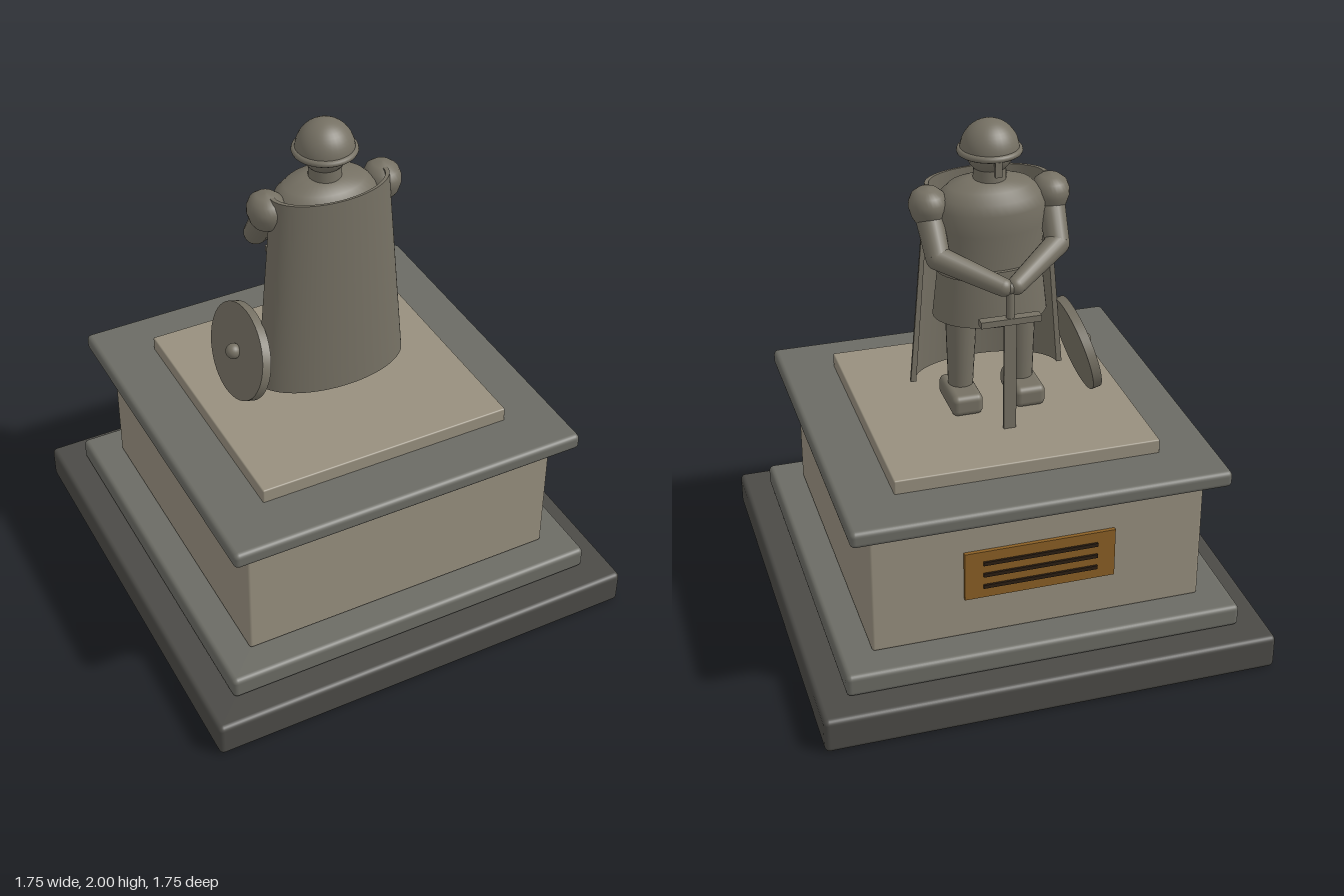
import * as THREE from 'three';
import { toCreasedNormals } from 'three/addons/utils/BufferGeometryUtils.js';
import { RoundedBoxGeometry } from 'three/addons/geometries/RoundedBoxGeometry.js';

const mat = (color) => new THREE.MeshStandardMaterial({ color });
const DARK = mat(0x4b4a46), STEP = mat(0x6b6b64), STONE = mat(0x978f7e);
const BRONZE = mat(0x757063), PLAQUE = mat(0x8a5f25), INK = mat(0x2a1d12);
const V = (x, y, z) => new THREE.Vector3(x, y, z);

function add(parent, name, geometry, material, x = 0, y = 0, z = 0) {
  const m = new THREE.Mesh(geometry, material);
  m.name = name;
  m.position.set(x, y, z);
  parent.add(m);
  return m;
}

// Lathed body part with an oval plan
function oval(parent, name, points, sx) {
  const geo = new THREE.LatheGeometry(points.map(([r, y]) => new THREE.Vector2(r, y)), 40);
  geo.scale(sx, 1, 1);
  return add(parent, name, toCreasedNormals(geo, 0.7), BRONZE);
}

// Tapered limb between two points
function limb(parent, name, a, b, ra, rb) {
  const d = b.clone().sub(a);
  const m = add(parent, name, new THREE.CylinderGeometry(rb, ra, d.length(), 20), BRONZE);
  m.position.copy(a).addScaledVector(d, 0.5);
  m.quaternion.setFromUnitVectors(V(0, 1, 0), d.normalize());
}

function ball(parent, name, r, p, s = [1, 1, 1]) {
  add(parent, name, new THREE.SphereGeometry(r, 24, 16), BRONZE, p.x, p.y, p.z).scale.set(...s);
}

function pedestal() {
  const g = new THREE.Group();
  g.name = 'pedestal';
  // name, width, bottom, top, edge radius, material
  const tiers = [
    ['footing', 1.75, 0, 0.14, 0.02, DARK],
    ['lowerStep', 1.53, 0.14, 0.23, 0.02, STEP],
    ['pedestalBlock', 1.28, 0.23, 0.745, 0.012, STONE],
    ['cornice', 1.44, 0.745, 0.81, 0.02, STEP],
    ['topSlab', 1.02, 0.805, 0.865, 0.006, STONE],
  ];
  for (const [name, w, y0, y1, r, m] of tiers) {
    add(g, name, new RoundedBoxGeometry(w, y1 - y0, w, 3, r), m, 0, (y0 + y1) / 2, 0);
  }
  // Plaque with three raised bars
  add(g, 'plaque', new THREE.BoxGeometry(0.58, 0.2, 0.02), PLAQUE, 0, 0.5, -0.645);
  for (const y of [0.45, 0.5, 0.55]) {
    add(g, 'plaqueBar', new THREE.BoxGeometry(0.44, 0.015, 0.01), INK, 0, y, -0.658);
  }
  return g;
}

// Half-oval shell that widens towards the hem
function capeGeometry() {
  const s = new THREE.Shape();
  s.absarc(0, 0, 1, 0, Math.PI, false);
  s.absarc(0, 0, 0.93, Math.PI, 0, true);
  const geo = new THREE.ExtrudeGeometry(s, { depth: 1, steps: 8, bevelEnabled: false, curveSegments: 28 });
  const p = geo.attributes.position;
  for (let i = 0; i < p.count; i++) {
    const t = p.getZ(i);
    p.setXYZ(i, p.getX(i) * (0.235 + 0.07 * t), 1.76 - 0.81 * t, 0.035 + p.getY(i) * (0.132 + 0.033 * t));
  }
  geo.computeVertexNormals();
  return toCreasedNormals(geo, 0.6);
}

function warrior() {
  const g = new THREE.Group();
  g.name = 'warrior';

  // Body
  oval(g, 'skirt', [[0, 1.25], [0.15, 1.24], [0.162, 1.24], [0.145, 1.45]], 1.36);
  oval(g, 'belt', [[0.14, 1.428], [0.157, 1.428], [0.157, 1.462], [0.14, 1.462]], 1.32);
  oval(g, 'torso', [[0.143, 1.44], [0.143, 1.5], [0.148, 1.6], [0.152, 1.68], [0.138, 1.72],
    [0.112, 1.755], [0.06, 1.775], [0, 1.78]], 1.4);
  add(g, 'cape', capeGeometry(), BRONZE);

  // Head and helmet
  add(g, 'neck', new THREE.CylinderGeometry(0.06, 0.063, 0.1, 24), BRONZE, 0, 1.78, 0);
  ball(g, 'head', 0.09, V(0, 1.885, 0));
  const dome = new THREE.SphereGeometry(0.11, 32, 12, 0, Math.PI * 2, 0, Math.PI / 2);
  add(g, 'helmet', dome, BRONZE, 0, 1.885, 0).scale.y = 1.045;
  const brim = new THREE.TorusGeometry(0.109, 0.013, 10, 40).rotateX(Math.PI / 2);
  add(g, 'helmetBrim', brim, BRONZE, 0, 1.885, 0);
  add(g, 'noseGuard', new THREE.BoxGeometry(0.025, 0.075, 0.018), BRONZE, 0, 1.855, -0.108);

  // Mirrored limbs
  for (const s of [1, -1]) {
    limb(g, 'leg', V(s * 0.12, 0.92, -0.01), V(s * 0.115, 1.28, -0.01), 0.047, 0.062);
    add(g, 'boot', new RoundedBoxGeometry(0.122, 0.085, 0.22, 4, 0.025), BRONZE, s * 0.124, 0.906, -0.03);
    const shoulder = V(s * 0.235, 1.67, 0), elbow = V(s * 0.228, 1.53, -0.11), hand = V(s * 0.025, 1.452, -0.255);
    limb(g, 'upperArm', shoulder, elbow, 0.052, 0.046);
    ball(g, 'elbow', 0.046, elbow);
    limb(g, 'forearm', elbow, hand, 0.046, 0.035);
    ball(g, 'hand', 0.035, hand);
    const pad = new THREE.LatheGeometry([[0.055, 1.635], [0.066, 1.65], [0.078, 1.685], [0.078, 1.71],
      [0.066, 1.738], [0.04, 1.757], [0, 1.763]].map(([r, y]) => new THREE.Vector2(r, y)), 28);
    add(g, 'shoulderGuard', pad, BRONZE, s * 0.235, 0, 0).scale.x = 0.9;
  }
  return g;
}

function sword() {
  const g = new THREE.Group();
  g.name = 'sword';
  g.position.z = -0.262;
  add(g, 'blade', new THREE.BoxGeometry(0.048, 0.45, 0.011), BRONZE, 0, 1.09, 0);
  add(g, 'crossguard', new THREE.BoxGeometry(0.23, 0.025, 0.036), BRONZE, 0, 1.318, 0);
  add(g, 'grip', new THREE.CylinderGeometry(0.016, 0.016, 0.12, 16), BRONZE, 0, 1.385, 0);
  ball(g, 'pommel', 0.024, V(0, 1.45, 0));
  return g;
}

// Oval shield leaning beside the leg, its face outward
function shield() {
  const g = new THREE.Group();
  g.name = 'shield';
  g.position.set(-0.338, 1.065, -0.04);
  g.rotation.z = -0.26;
  const disc = new THREE.CylinderGeometry(1, 1, 0.035, 48).rotateZ(Math.PI / 2);
  disc.scale(1, 0.178, 0.216);
  add(g, 'shieldDisc', toCreasedNormals(disc, 0.6), BRONZE);
  ball(g, 'shieldBoss', 0.03, V(-0.03, 0, 0));
  return g;
}

export function createModel() {
  const model = new THREE.Group();
  model.name = 'warriorMonument';
  model.add(pedestal(), warrior(), sword(), shield());
  return model;
}
